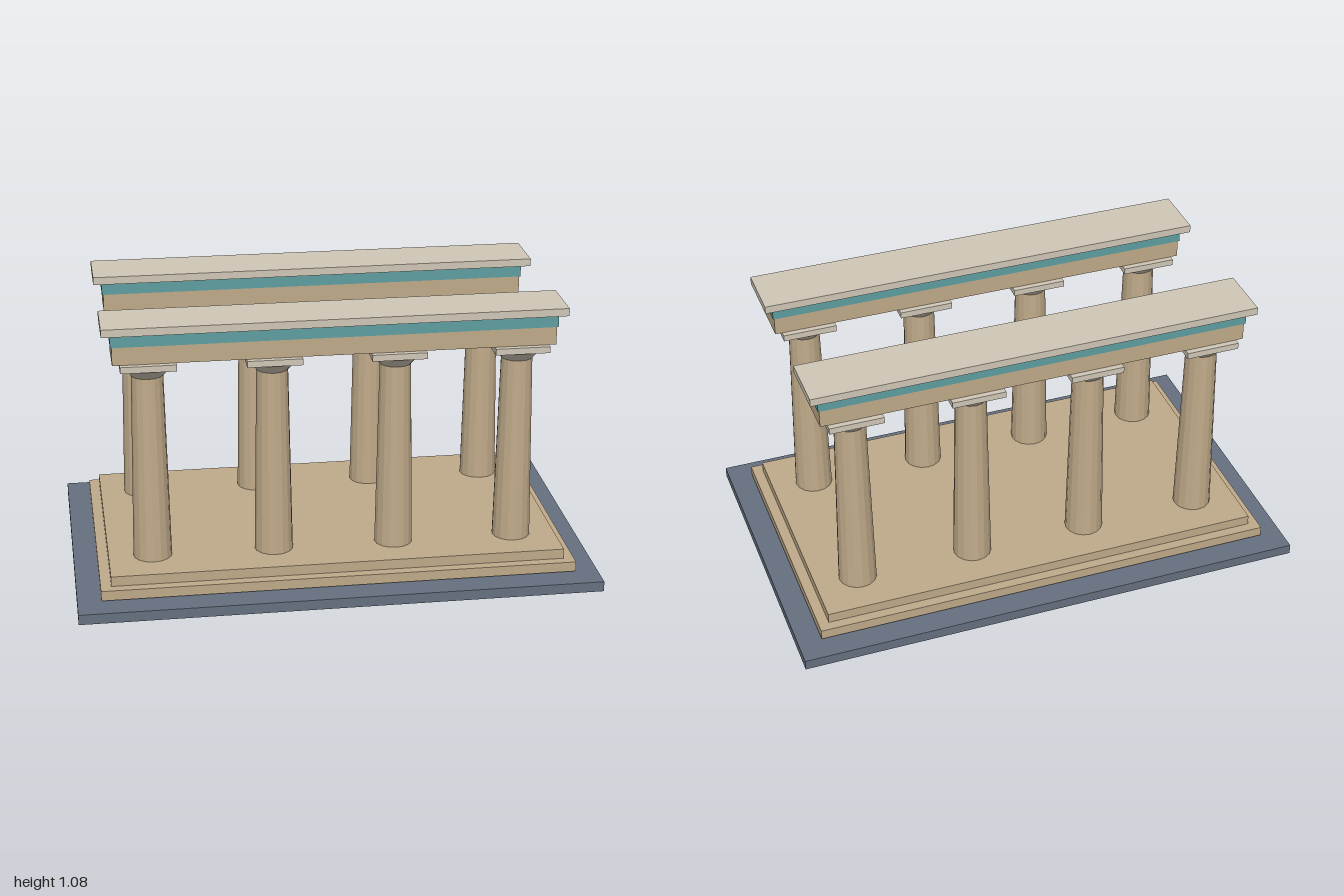
import * as THREE from 'three';

const mat = (name, color, flatShading = false) => {
  const m = new THREE.MeshStandardMaterial({ color, flatShading });
  m.name = name;
  return m;
};

export function createModel() {
  const sandstone = mat('sandstone', 0xc0aa8a, true);
  const limestone = mat('limestone', 0xd0c7b6, true);
  const teal = mat('teal', 0x5f9ea0, true);
  const slate = mat('slate', 0x667080, true);

  const model = new THREE.Group();
  model.name = 'colonnade';

  const add = (parent, name, geometry, material, x, y, z) => {
    const mesh = new THREE.Mesh(geometry, material);
    mesh.name = name;
    mesh.position.set(x, y, z);
    parent.add(mesh);
  };
  // Box given by its width, depth and bottom/top heights
  const slab = (parent, name, w, d, y0, y1, material, x = 0, z = 0) =>
    add(parent, name, new THREE.BoxGeometry(w, y1 - y0, d), material, x, (y0 + y1) / 2, z);
  // Tapered round part between two heights
  const drum = (parent, name, rTop, rBottom, y0, y1, material, x) =>
    add(parent, name, new THREE.CylinderGeometry(rTop, rBottom, y1 - y0, 16), material, x, (y0 + y1) / 2, 0);

  // Ground slab (a thin gap separates it from the steps)
  slab(model, 'groundSlab', 2, 1.245, 0, 0.04, slate);
  slab(model, 'lowerStep', 1.82, 1.067, 0.049, 0.088, sandstone);
  slab(model, 'upperStep', 1.74, 0.99, 0.088, 0.127, sandstone);

  // Two rows of columns, each carrying a beam
  for (const side of [1, -1]) {
    const row = new THREE.Group();
    row.name = side > 0 ? 'frontRow' : 'backRow';
    row.position.z = side * 0.313;
    model.add(row);

    for (let i = 0; i < 4; i++) {
      const x = (i - 1.5) * 0.467;
      const column = new THREE.Group();
      column.name = 'column';
      row.add(column);
      drum(column, 'shaft', 0.06, 0.074, 0.127, 0.863, sandstone, x);
      drum(column, 'capital', 0.099, 0.062, 0.863, 0.905, limestone, x);
      slab(column, 'abacus', 0.208, 0.208, 0.905, 0.93, limestone, x);
    }

    slab(row, 'architrave', 1.664, 0.163, 0.93, 1.0, sandstone);
    slab(row, 'frieze', 1.674, 0.17, 1.0, 1.05, teal);
    slab(row, 'cornice', 1.74, 0.222, 1.05, 1.08, limestone);
  }

  return model;
}
